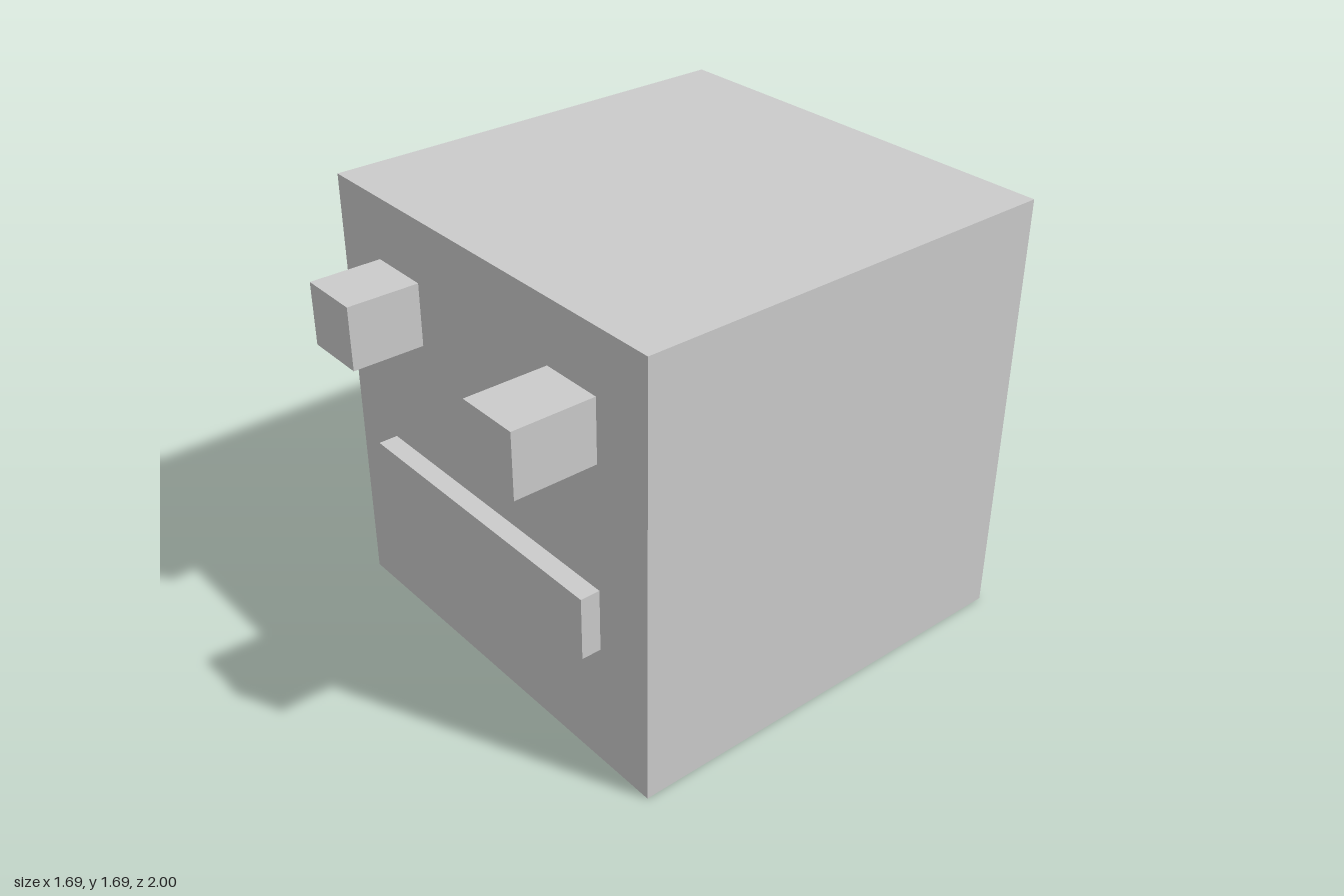
import * as THREE from 'three';

const FACE_Z = 0.69; // front plane of the head

export function createModel() {
  const group = new THREE.Group();
  const material = new THREE.MeshStandardMaterial({ color: 0xcccccc, flatShading: true });

  // Box given by its limits on each axis
  function addBox(name, [x0, x1], [y0, y1], [z0, z1]) {
    const mesh = new THREE.Mesh(new THREE.BoxGeometry(x1 - x0, y1 - y0, z1 - z0), material);
    mesh.position.set((x0 + x1) / 2, (y0 + y1) / 2, (z0 + z1) / 2);
    mesh.name = name;
    group.add(mesh);
  }

  // Cubic head
  addBox('head', [-0.845, 0.845], [0, 1.69], [-1, FACE_Z]);

  // Block eyes, the left one standing out slightly further
  addBox('leftEye', [0.362, 0.604], [1.21, 1.45], [FACE_Z, 1]);
  addBox('rightEye', [-0.604, -0.362], [1.21, 1.45], [FACE_Z, 0.965]);

  // Flat bar mouth
  addBox('mouth', [-0.604, 0.604], [0.485, 0.727], [FACE_Z, 0.765]);

  return group;
}
